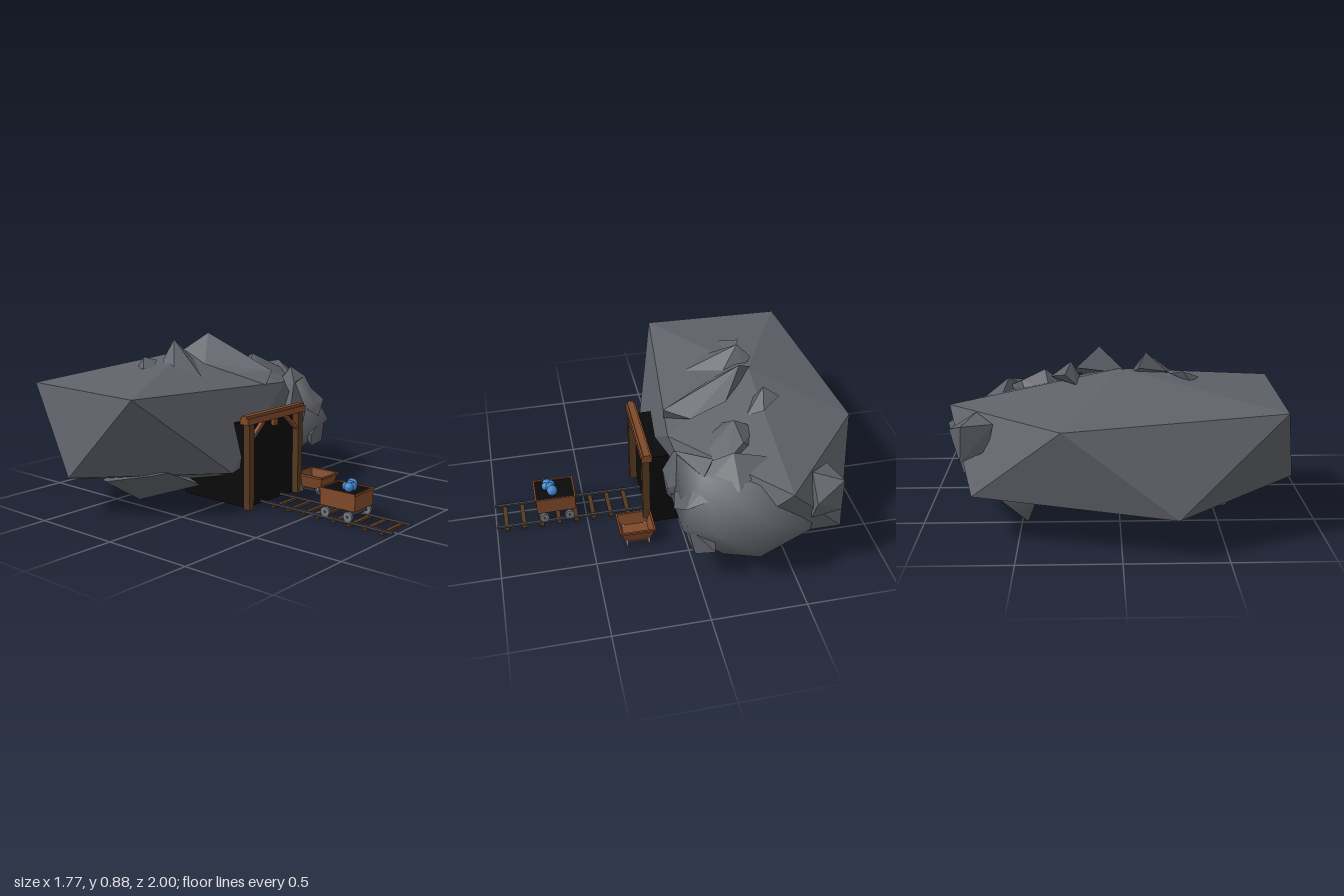
import * as THREE from 'three';
import { mergeVertices } from 'three/addons/utils/BufferGeometryUtils.js';
import { ConvexGeometry } from 'three/addons/geometries/ConvexGeometry.js';

const mat = (name, color, side = THREE.FrontSide) => {
  const m = new THREE.MeshStandardMaterial({ color, side });
  m.name = name;
  return m;
};

export function createModel() {
  const model = new THREE.Group();
  model.name = 'mineEntrance';
  const stone = mat('stone', 0x5e6168);
  const wood = mat('wood', 0x80492a, THREE.DoubleSide);
  const darkWood = mat('darkWood', 0x553820);
  const dark = mat('darkness', 0x0a0a0a);
  const steel = mat('steel', 0x46494f);
  const wheelGrey = mat('wheelGrey', 0x73767d);
  const blue = mat('crystalBlue', 0x3f86d0);

  const add = (name, geo, material, x = 0, y = 0, z = 0, parent = model) => {
    const m = new THREE.Mesh(geo, material);
    m.name = name;
    m.position.set(x, y, z);
    parent.add(m);
    return m;
  };
  // box given by its min and max corners
  const box = (name, material, x0, x1, y0, y1, z0, z1, parent = model) =>
    add(name, new THREE.BoxGeometry(x1 - x0, y1 - y0, z1 - z0), material,
      (x0 + x1) / 2, (y0 + y1) / 2, (z0 + z1) / 2, parent);
  // faceted or smooth boulder as the hull of a few corners
  const rock = (name, pts, smooth = false) => {
    let geo = new ConvexGeometry(pts.map(p => new THREE.Vector3(...p)));
    if (smooth) {
      geo.deleteAttribute('normal');
      geo = mergeVertices(geo, 1e-4);
      geo.computeVertexNormals();
    }
    return add(name, geo, stone);
  };

  // main boulder: stretched twenty-sided block
  rock('mainBoulder', [
    [0, 0.79, -0.43], [0, 0.01, -0.43],
    [-0.89, 0.215, -0.43], [-0.26, 0.21, -1], [0.72, 0.24, -0.75], [0.72, 0.24, -0.1], [-0.26, 0.21, 0.14],
    [0.85, 0.61, -0.43], [0.28, 0.61, -0.92], [-0.78, 0.66, -0.81], [-0.8, 0.66, -0.04], [0.28, 0.62, 0.07],
  ]);
  // rounded boulder on the right of the entrance
  rock('sideBoulder', [
    [0.88, 0.48, -0.32], [0.7, 0.34, 0.08], [0.57, 0.005, -0.17], [0.8, 0.18, -0.3],
    [0.45, 0.1, -0.73], [0.5, 0.36, -0.74], [0.76, 0.58, -0.4], [0.62, 0.6, -0.04],
    [0.4, 0.6, 0.05], [0.3, 0.32, 0.08], [0.4, 0.13, -0.08], [0.8, 0.38, -0.06], [0.78, 0.3, -0.56],
  ], true);
  // low boulder on the left
  rock('lowBoulder', [
    [-0.44, 0.005, -0.38], [-0.5, 0.17, -0.71], [-0.73, 0.18, -0.33], [-0.54, 0.235, -0.06],
    [-0.3, 0.12, -0.05], [-0.2, 0.13, -0.3], [-0.6, 0.22, -0.12], [-0.25, 0.14, -0.6],
  ]);
  // peaks and shards on top
  rock('leftPeak', [
    [-0.13, 0.865, -0.4], [-0.09, 0.8, -0.47], [-0.32, 0.69, -0.22], [-0.2, 0.69, -0.13],
    [-0.04, 0.7, -0.27], [-0.06, 0.76, -0.42], [-0.24, 0.76, -0.38],
  ]);
  rock('highPeak', [
    [0.1, 0.885, -0.35], [-0.04, 0.77, -0.46], [-0.04, 0.73, -0.25], [0.05, 0.68, -0.08],
    [0.16, 0.7, 0.07], [0.24, 0.68, -0.06], [0.22, 0.75, -0.25], [0.12, 0.62, 0.06],
  ]);
  rock('smallPeak', [
    [0.24, 0.83, -0.44], [0.27, 0.78, -0.52], [0.34, 0.75, -0.42], [0.3, 0.7, -0.34],
    [0.19, 0.73, -0.4], [0.21, 0.72, -0.5],
  ]);
  rock('leftChip', [
    [-0.31, 0.78, -0.46], [-0.4, 0.73, -0.37], [-0.32, 0.73, -0.36], [-0.25, 0.76, -0.42], [-0.36, 0.72, -0.46],
  ]);
  rock('rightPeak', [
    [0.38, 0.745, -0.25], [0.33, 0.6, -0.08], [0.27, 0.65, -0.2], [0.5, 0.69, -0.27],
    [0.57, 0.64, -0.17], [0.46, 0.56, -0.03], [0.46, 0.6, -0.36], [0.35, 0.66, -0.38],
  ]);
  rock('longShard', [
    [0.56, 0.66, -0.1], [0.62, 0.6, -0.04], [0.43, 0.4, 0.1], [0.3, 0.25, 0.08],
    [0.28, 0.4, 0.1], [0.38, 0.6, 0.06], [0.48, 0.22, 0], [0.4, 0.55, -0.1],
  ]);
  rock('outerShard', [
    [0.59, 0.65, -0.39], [0.57, 0.69, -0.2], [0.72, 0.57, -0.2], [0.5, 0.42, 0.08],
    [0.57, 0.38, 0.1], [0.68, 0.46, 0.06], [0.52, 0.6, -0.05],
  ]);
  rock('frontChip', [
    [0.7, 0.37, 0.06], [0.78, 0.24, -0.07], [0.6, 0.18, 0.03], [0.57, 0.26, 0.05],
    [0.72, 0.19, 0.02], [0.66, 0.28, -0.1],
  ]);
  rock('backChip', [
    [0.76, 0.58, -0.72], [0.84, 0.52, -0.56], [0.8, 0.4, -0.55], [0.77, 0.4, -0.72],
    [0.61, 0.58, -0.68], [0.7, 0.61, -0.57], [0.64, 0.45, -0.68],
  ]);

  // dark tunnel behind the gate
  box('tunnel', dark, -0.17, 0.24, 0.002, 0.46, -0.28, 0.165);

  // timber gate, mirrored about x = 0.04
  const gate = new THREE.Group();
  gate.name = 'gate';
  gate.position.x = 0.038;
  model.add(gate);
  for (const s of [-1, 1]) {
    box('post', darkWood, s * 0.213 - 0.02, s * 0.213 + 0.02, 0, 0.475, 0.165, 0.205, gate);
    const brace = add('brace', new THREE.BoxGeometry(0.13, 0.018, 0.022), wood, s * 0.145, 0.423, 0.185, gate);
    brace.rotation.z = -s * 0.7;
  }
  box('lintel', wood, -0.25, 0.25, 0.468, 0.502, 0.155, 0.21, gate);
  box('lintelCap', wood, -0.252, 0.252, 0.502, 0.515, 0.165, 0.2, gate);
  box('hangingPeg', wood, -0.014, 0.014, 0.428, 0.468, 0.175, 0.2, gate);

  // track
  for (let i = 0; i < 8; i++) {
    const z = 0.27 + i * 0.0965;
    box('sleeper', darkWood, -0.072, 0.152, 0, 0.012, z - 0.012, z + 0.012);
  }
  for (const x of [-0.05, 0.126]) box('rail', steel, x - 0.007, x + 0.007, 0.01, 0.021, 0.16, 1);

  // open tapered bin: walls from a four-sided tube, plus a floor
  const bin = (name, w, d, h, taper) => {
    const g = new THREE.Group();
    g.name = name;
    const r = Math.SQRT1_2;
    const walls = new THREE.CylinderGeometry(r, r * taper, h, 4, 1, true).rotateY(Math.PI / 4).toNonIndexed();
    walls.scale(w, 1, d);
    walls.computeVertexNormals();
    add('walls', walls, wood, 0, h / 2, 0, g);
    add('floor', new THREE.BoxGeometry(w * taper, 0.008, d * taper), wood, 0, 0.004, 0, g);
    for (const s of [-1, 1]) {
      box('sideRim', wood, s * w / 2 - 0.005, s * w / 2 + 0.005, h - 0.012, h, -d / 2, d / 2, g);
      box('endRim', wood, -w / 2, w / 2, h - 0.012, h, s * d / 2 - 0.005, s * d / 2 + 0.005, g);
    }
    model.add(g);
    return g;
  };

  // loaded cart on the track
  const cart = bin('loadedCart', 0.172, 0.215, 0.095, 0.99);
  cart.position.set(0.038, 0.073, 0.665);
  add('load', new THREE.BoxGeometry(0.165, 0.08, 0.207), dark, 0, 0.048, 0, cart);
  const wheel = new THREE.CylinderGeometry(0.027, 0.027, 0.014, 14).rotateZ(Math.PI / 2);
  for (const z of [-0.07, 0.07]) {
    for (const x of [-0.088, 0.088]) add('wheel', wheel, wheelGrey, x, -0.03, z, cart);
    box('axle', steel, -0.1, 0.1, -0.035, -0.025, z - 0.005, z + 0.005, cart);
    box('bearing', steel, -0.07, 0.07, -0.03, 0, z - 0.01, z + 0.01, cart);
  }
  // blue ore lumps
  const lumps = [[-0.035, 0.035, 0.026], [0.0, 0.02, 0.026], [0.03, 0.012, 0.03], [-0.012, 0.045, 0.022], [-0.025, 0.012, 0.022]];
  lumps.forEach(([x, z, r], i) => {
    const lump = add('ore', new THREE.IcosahedronGeometry(r, 1), blue, x, 0.108, z, cart);
    lump.rotation.set(i, i * 2, i * 0.7);
  });

  // empty cart beside the gate
  const empty = bin('emptyCart', 0.16, 0.185, 0.078, 0.76);
  empty.position.set(0.338, 0.033, 0.26);
  const small = new THREE.CylinderGeometry(0.021, 0.021, 0.012, 14).rotateX(Math.PI / 2);
  for (const x of [-0.06, 0.06]) {
    for (const z of [-0.06, 0.06]) add('wheel', small, wheelGrey, x, -0.008, z, empty);
    box('axle', steel, x - 0.005, x + 0.005, -0.013, -0.003, -0.07, 0.07, empty);
  }
  return model;
}
